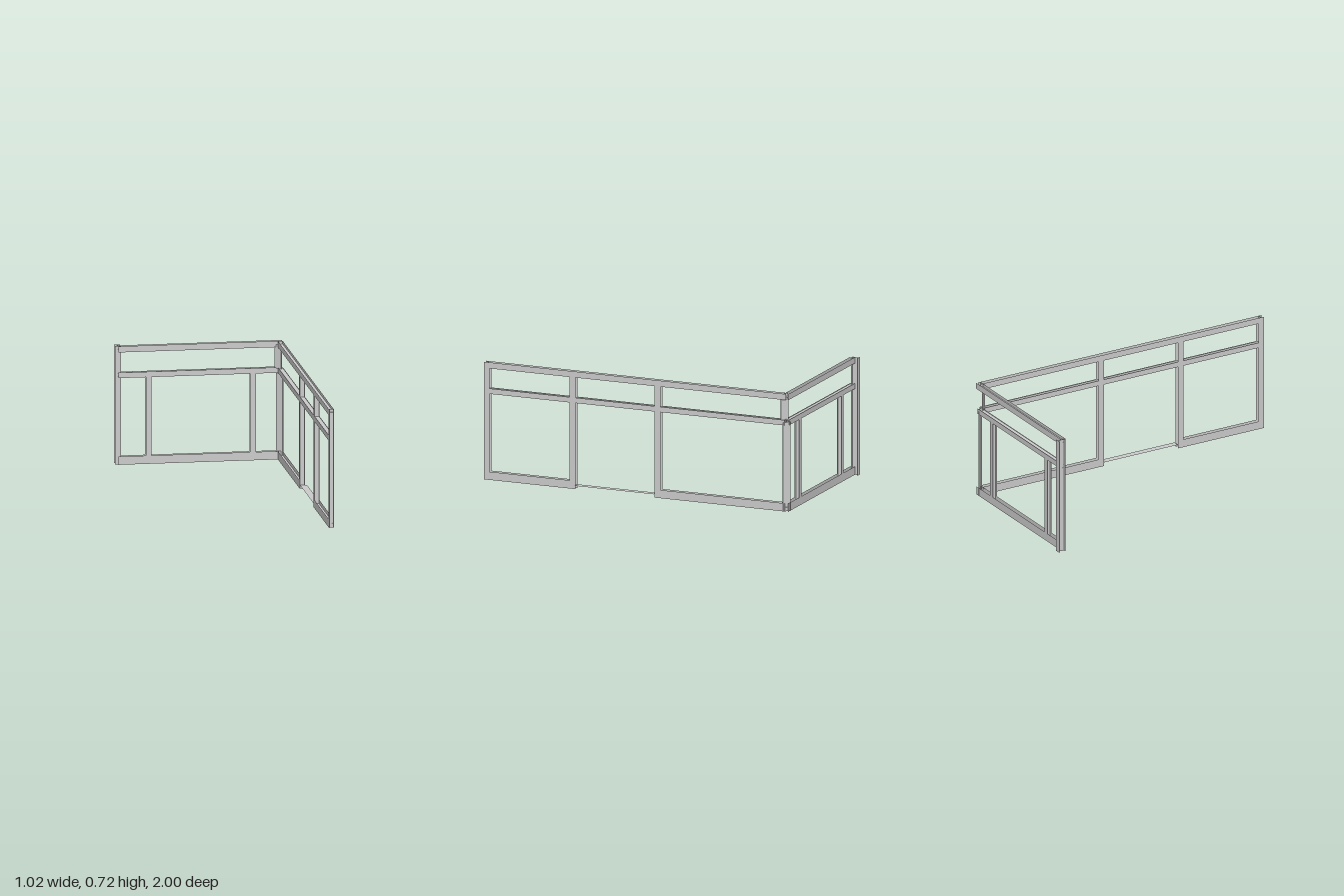
import * as THREE from 'three';

const material = new THREE.MeshStandardMaterial({ color: 0xcccccc, side: THREE.DoubleSide, flatShading: true });

// Thin rectangular sheet; one of the three ranges has zero length
function sheet(x, y, z) {
  const [w, h, d] = [x, y, z].map(r => r[1] - r[0]);
  let geometry;
  if (w === 0) geometry = new THREE.PlaneGeometry(d, h).rotateY(Math.PI / 2);
  else if (h === 0) geometry = new THREE.PlaneGeometry(w, d).rotateX(-Math.PI / 2);
  else geometry = new THREE.PlaneGeometry(w, h);
  geometry.translate((x[0] + x[1]) / 2, (y[0] + y[1]) / 2, (z[0] + z[1]) / 2);
  return new THREE.Mesh(geometry, material);
}

// H-section bar: two flanges facing out of the wall, joined by webs.
// u runs along the wall, n through its thickness.
function bar(name, alongZ, u, y, n, { websY = [], websU = [] }) {
  const group = new THREE.Group();
  group.name = name;
  const add = (part, u, y, n) => {
    const mesh = alongZ ? sheet(n, y, u) : sheet(u, y, n);
    mesh.name = part;
    group.add(mesh);
  };
  for (const side of n) add('flange', u, y, [side, side]);
  for (const h of websY) add('web', u, [h, h], n);
  for (const p of websU) add('web', [p, p], y, n);
  return group;
}

export function createModel() {
  const model = new THREE.Group();
  model.name = 'cornerWallFrame';
  const post = (name, alongZ, u, y, n) =>
    model.add(bar(name, alongZ, u, y, n, { websU: [(u[0] + u[1]) / 2] }));
  const rail = (name, alongZ, u, y, n, websY = [(y[0] + y[1]) / 2]) =>
    model.add(bar(name, alongZ, u, y, n, { websY }));

  const sideN = [0.468, 0.497];
  const backN = [-0.974, -0.946];
  const top = [0.683, 0.72], mid = [0.527, 0.56], bottom = [0, 0.05];
  const midWebs = [0.537, 0.555];

  // Long side wall
  rail('sideTopRail', true, [-0.96, 1], top, sideN);
  rail('sideMiddleRail', true, [-0.95, 0.982], mid, sideN, midWebs);
  rail('sideBottomRailFront', true, [0.425, 0.982], bottom, sideN);
  rail('sideBottomRailBack', true, [-0.955, -0.126], bottom, sideN);
  post('sideEndPost', true, [0.963, 1], [0, 0.72], sideN);
  post('doorPostFront', true, [0.405, 0.444], [0, 0.683], sideN);
  post('doorPostBack', true, [-0.145, -0.107], [0, 0.683], sideN);

  // Door threshold
  const threshold = sheet([0.468, 0.51], [0.023, 0.023], [-0.107, 0.405]);
  threshold.name = 'doorThreshold';
  model.add(threshold);

  // Back wall
  rail('backTopRail', false, [-0.492, 0.498], top, backN);
  rail('backMiddleRail', false, [-0.492, 0.48], mid, backN, midWebs);
  rail('backBottomRail', false, [-0.492, 0.495], bottom, backN);
  post('backEndPost', false, [-0.51, -0.473], [0, 0.72], [-1, -0.957]);
  for (const x of [-0.309, 0.318]) post('backInnerPost', false, [x - 0.017, x + 0.017], [0, 0.527], backN);

  // Diagonal corner plates, the upper one set further inward
  const cornerPlate = (name, x, z, y0, y1) => {
    const mesh = new THREE.Mesh(new THREE.BoxGeometry(0.047, y1 - y0, 0.009), material);
    mesh.name = name;
    mesh.position.set(x, (y0 + y1) / 2, z);
    mesh.rotation.y = -Math.PI / 4;
    model.add(mesh);
  };
  cornerPlate('upperCornerPost', 0.47, -0.94, 0.555, 0.7);
  cornerPlate('lowerCornerPost', 0.481, -0.957, 0, 0.545);

  return model;
}
